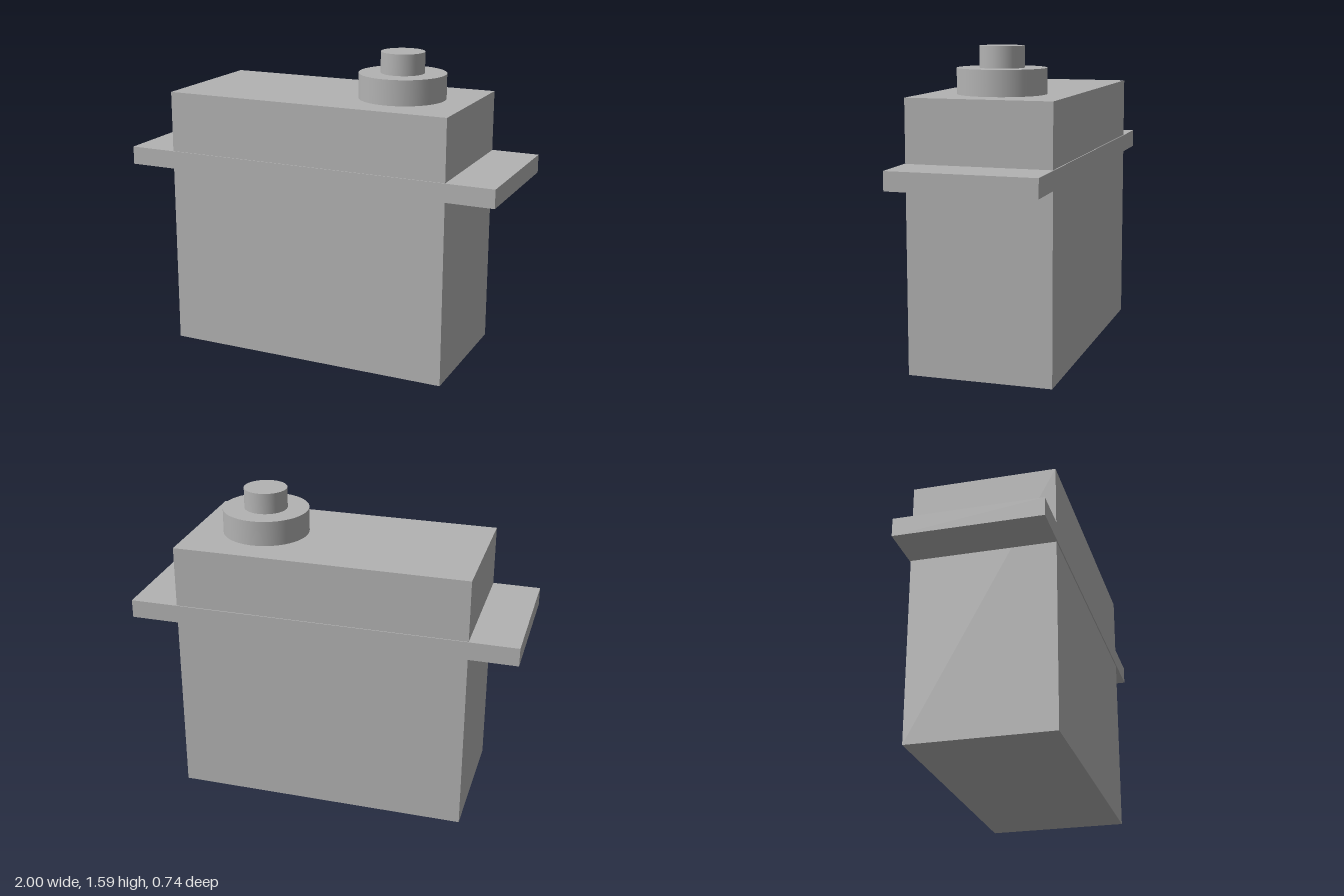
import * as THREE from 'three';

export function createModel() {
  const group = new THREE.Group();
  const grey = new THREE.MeshStandardMaterial({ color: 0xb3b3b3 });
  grey.name = 'grey plastic';

  const add = (name, geometry, x, y) => {
    const mesh = new THREE.Mesh(geometry, grey);
    mesh.name = name;
    mesh.position.set(x, y, 0);
    group.add(mesh);
  };
  // Each part is given by its bottom and top heights
  const box = (name, width, depth, y0, y1) =>
    add(name, new THREE.BoxGeometry(width, y1 - y0, depth), 0, (y0 + y1) / 2);
  const disc = (name, radius, y0, y1) =>
    add(name, new THREE.CylinderGeometry(radius, radius, y1 - y0, 64), 0.385, (y0 + y1) / 2);

  // Motor case and the mounting plate that sticks out at both ends
  box('case', 1.505, 0.728, 0, 1.356);
  box('mountingPlate', 2, 0.738, 0.948, 1.042);

  // Raised gear boss with the output shaft on top
  disc('gearBoss', 0.222, 1.356, 1.484);
  disc('outputShaft', 0.111, 1.484, 1.591);

  return group;
}
